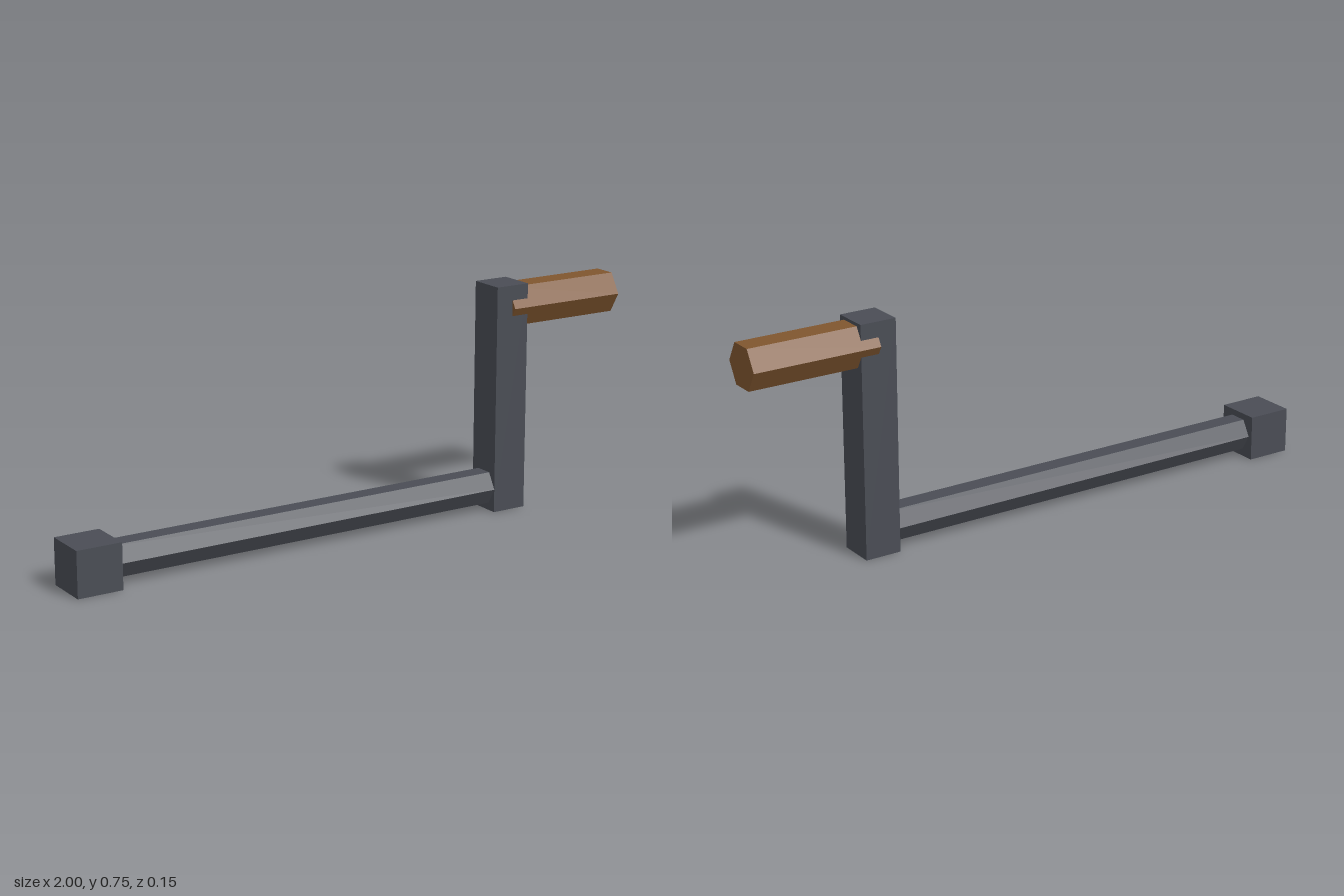
import * as THREE from 'three';

const steel = new THREE.MeshStandardMaterial({ color: 0x4a4d55, flatShading: true });
const wood = new THREE.MeshStandardMaterial({ color: 0x80562f, flatShading: true });

// Box spanning x0..x1, y0..y1, centred on z = 0
function box(name, x0, x1, y0, y1, depth) {
  const mesh = new THREE.Mesh(new THREE.BoxGeometry(x1 - x0, y1 - y0, depth), steel);
  mesh.position.set((x0 + x1) / 2, (y0 + y1) / 2, 0);
  mesh.name = name;
  return mesh;
}

// Hexagonal bar lying along x, corners pointing to front and back
function hexBar(name, x0, x1, y, radius, material) {
  const geometry = new THREE.CylinderGeometry(radius, radius, x1 - x0, 6).rotateZ(Math.PI / 2);
  const mesh = new THREE.Mesh(geometry, material);
  mesh.position.set((x0 + x1) / 2, y, 0);
  mesh.name = name;
  return mesh;
}

export function createModel() {
  const crank = new THREE.Group();
  crank.name = 'handCrank';
  crank.add(
    box('socketBlock', -1, -0.85, 0, 0.15, 0.15),
    hexBar('shaft', -0.925, 0.578, 0.077, 0.06, steel),
    box('crankArm', 0.518, 0.638, 0, 0.752, 0.12),
    // The grip is sunk halfway into the arm
    hexBar('gripHandle', 0.578, 1, 0.677, 0.075, wood),
  );
  return crank;
}
